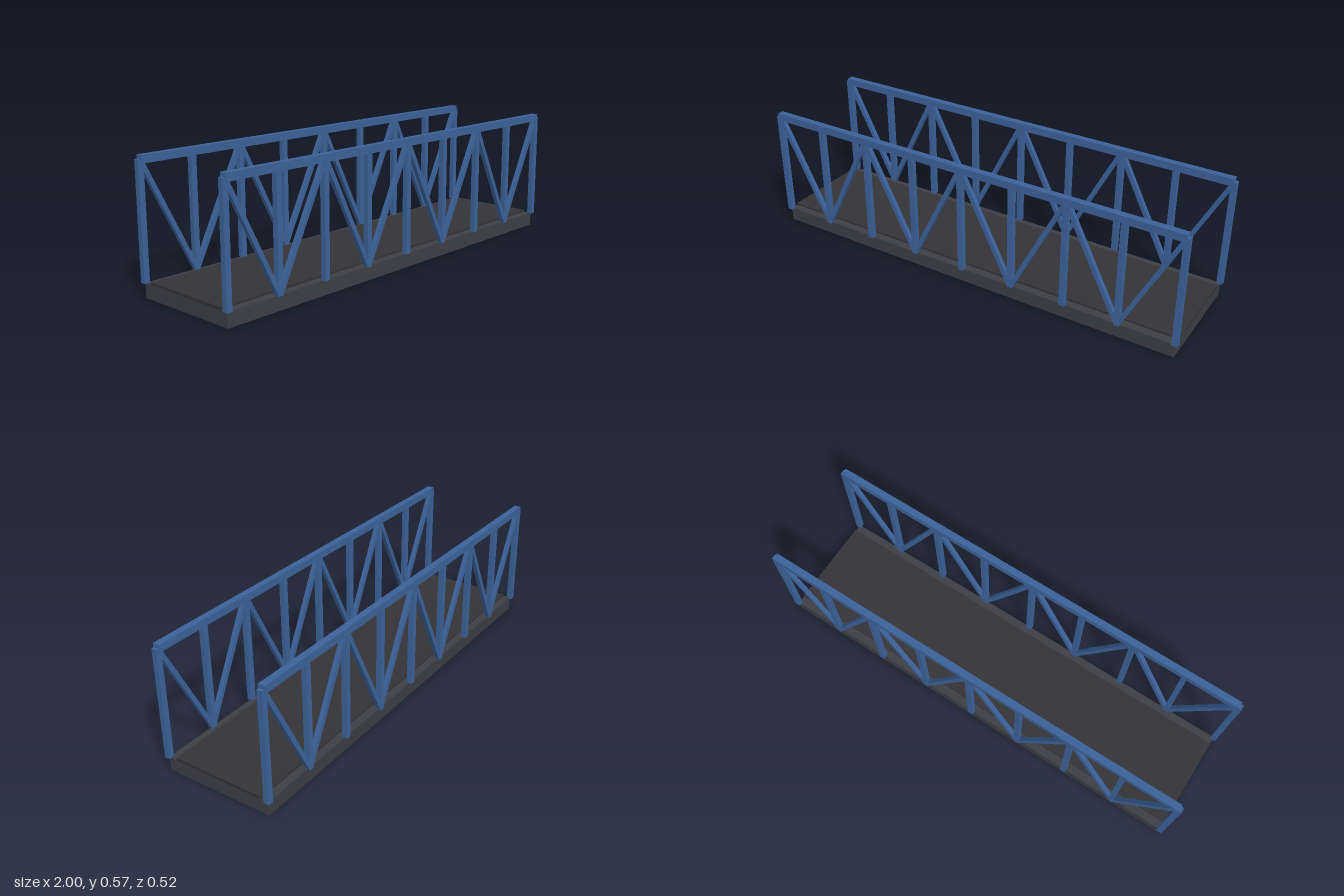
import * as THREE from 'three';

const HALF = 0.988;     // half length of the deck
const SIDE = 0.247;     // z of each truss
const BAY = HALF / 4;   // spacing between posts
const LOW = 0.062;      // deck surface
const HIGH = 0.55;      // centre line of the top chord

export function createModel() {
  const model = new THREE.Group();
  model.name = 'trussBridge';
  const steel = new THREE.MeshStandardMaterial({ color: 0x3b6299 });
  const concrete = new THREE.MeshStandardMaterial({ color: 0x3c3e45 });
  const asphalt = new THREE.MeshStandardMaterial({ color: 0x333338 });

  const box = (parent, name, material, w, h, d, x, y, z) => {
    const mesh = new THREE.Mesh(new THREE.BoxGeometry(w, h, d), material);
    mesh.name = name;
    mesh.position.set(x, y, z);
    parent.add(mesh);
    return mesh;
  };

  // Deck slab and the raised roadway on it
  box(model, 'deck', concrete, HALF * 2, LOW, SIDE * 2, 0, LOW / 2, 0);
  box(model, 'roadway', asphalt, HALF * 2, 0.012, 0.42, 0, 0.065, 0);

  for (const side of [1, -1]) {
    const truss = new THREE.Group();
    truss.name = side > 0 ? 'frontTruss' : 'backTruss';
    truss.position.z = side * SIDE;
    model.add(truss);

    box(truss, 'topChord', steel, HALF * 2, 0.033, 0.03, 0, HIGH, 0);

    // Vertical posts at every bay line
    for (let i = 0; i <= 8; i++) {
      box(truss, 'post', steel, 0.0245, HIGH - LOW, 0.0245, -HALF + i * BAY, (HIGH + LOW) / 2, 0);
    }

    // Diagonals zigzag between the chord and the deck
    const rise = HIGH - LOW;
    for (let i = 0; i < 8; i++) {
      const brace = box(truss, 'diagonal', steel, 0.02, Math.hypot(BAY, rise), 0.02,
        -HALF + (i + 0.5) * BAY, (HIGH + LOW) / 2, 0);
      brace.rotation.z = (i % 2 ? -1 : 1) * Math.atan2(BAY, rise);
    }
  }
  return model;
}
